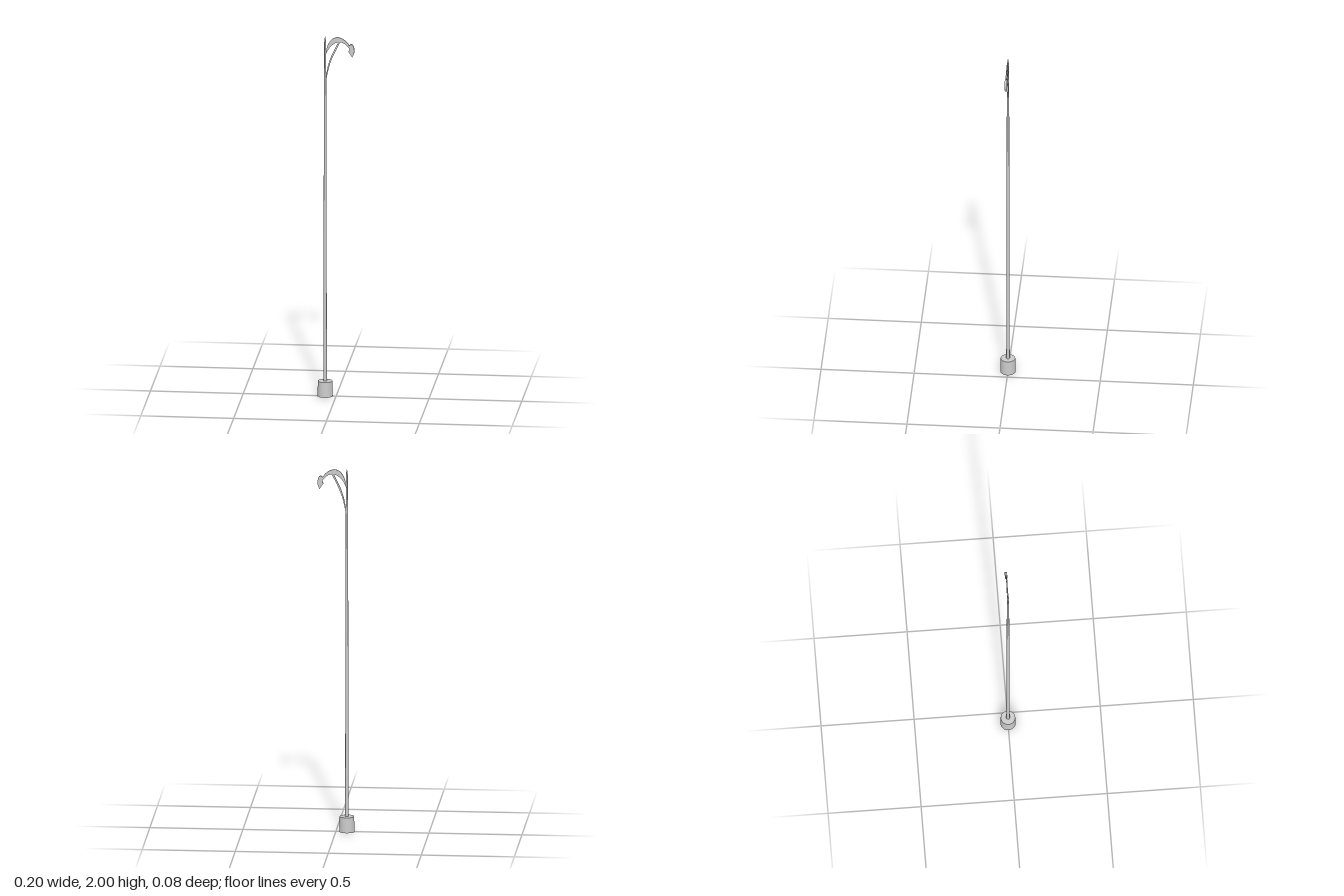
import * as THREE from 'three';

const POLE_X = -0.059;

export function createModel() {
  const group = new THREE.Group();
  const material = new THREE.MeshStandardMaterial({ color: 0xcccccc });

  const add = (name, geometry) => {
    const mesh = new THREE.Mesh(geometry, material);
    mesh.name = name;
    group.add(mesh);
    return mesh;
  };

  // Flat plate cut from a shape, centred on z = 0
  const plate = (name, shape, depth) => {
    const geometry = new THREE.ExtrudeGeometry(shape, { depth, bevelEnabled: false, curveSegments: 16 });
    geometry.translate(0, 0, -depth / 2);
    return add(name, geometry);
  };

  // Closed shape between an upper and a lower smooth edge
  const bandShape = (upper, lower) => {
    const smooth = (pts) =>
      new THREE.SplineCurve(pts.map(([x, y]) => new THREE.Vector2(x, y))).getPoints(24);
    return new THREE.Shape([...smooth(upper), ...smooth(lower).reverse()]);
  };

  // Drum-shaped footing
  const base = add('base', new THREE.CylinderGeometry(0.039, 0.041, 0.084, 32));
  base.position.set(POLE_X, 0.042, 0);

  // Slender tapered pole with a pointed tip
  const profile = [
    [0, 0.08], [0.0095, 0.08], [0.0085, 0.7], [0.0075, 1.2], [0.0065, 1.75],
    [0.005, 1.9], [0.0055, 1.94], [0.0055, 1.96], [0.003, 1.985], [0, 2],
  ].map(([r, y]) => new THREE.Vector2(r, y));
  add('pole', new THREE.LatheGeometry(profile, 16)).position.x = POLE_X;

  // Crescent arm, thickest in the middle
  plate('arm', bandShape(
    [[-0.055, 1.915], [-0.045, 1.95], [-0.026, 1.98], [0.003, 1.995], [0.034, 1.988], [0.058, 1.969], [0.077, 1.945]],
    [[-0.055, 1.9], [-0.042, 1.925], [-0.025, 1.948], [0.003, 1.966], [0.03, 1.967], [0.052, 1.955], [0.073, 1.932]],
  ), 0.006);

  // Curved brace under the arm
  plate('brace', bandShape(
    [[-0.055, 1.775], [-0.044, 1.834], [-0.024, 1.895], [0.012, 1.968]],
    [[-0.055, 1.745], [-0.038, 1.828], [-0.016, 1.89], [0.022, 1.968]],
  ), 0.006);

  // Drop-shaped lamp head at the end of the arm
  const head = new THREE.Shape();
  head.moveTo(0.07, 1.95);
  head.quadraticCurveTo(0.08, 1.963, 0.09, 1.955);
  head.quadraticCurveTo(0.102, 1.935, 0.097, 1.908);
  head.lineTo(0.087, 1.885);
  head.quadraticCurveTo(0.078, 1.905, 0.066, 1.916);
  head.quadraticCurveTo(0.077, 1.932, 0.07, 1.95);
  plate('lampHead', head, 0.012);

  return group;
}
